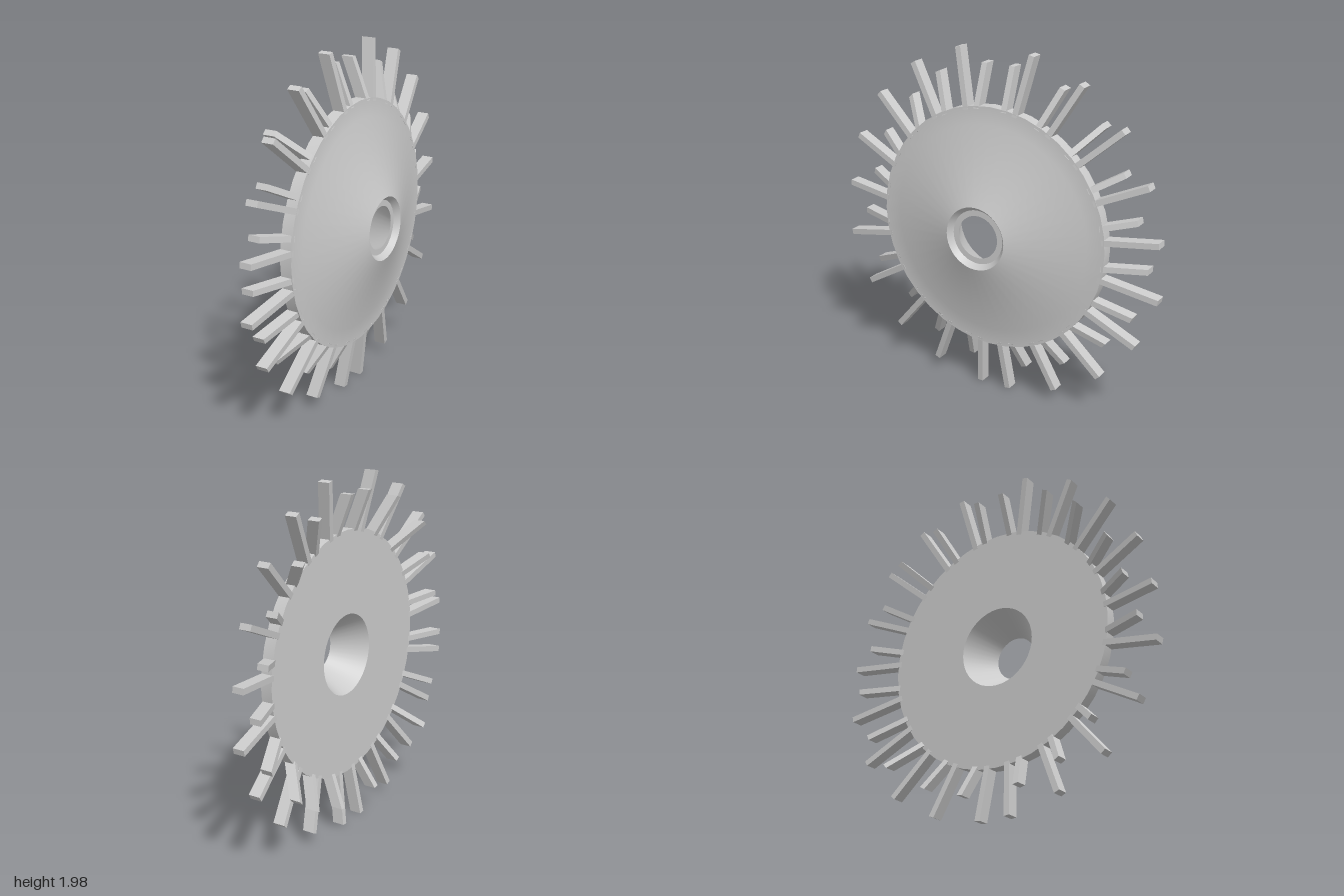
import * as THREE from 'three';
import { toCreasedNormals } from 'three/addons/utils/BufferGeometryUtils.js';

const RAD = Math.PI / 180;
const BASE = 0.68;      // radius where the blades meet the hub
const BACK = -0.042;    // rear plane of the hub
const DEPTH = 0.068;    // blade size along the axle
const WIDTH = 0.033;    // blade size around the rim

// Radial blade: a box pointing up, sheared towards -x as it rises
function bladeGeometry(tip, sweep, offset = 0) {
  const length = tip - BASE;
  const g = new THREE.BoxGeometry(DEPTH, length, WIDTH);
  g.translate(BACK + DEPTH / 2, BASE + length / 2, offset);
  const p = g.attributes.position;
  for (let i = 0; i < p.count; i++) {
    p.setX(i, p.getX(i) - sweep * (p.getY(i) - BASE) / length);
  }
  g.computeVertexNormals();
  return g;
}

export function createModel() {
  const model = new THREE.Group();
  model.name = 'bladedWheel';
  const material = new THREE.MeshStandardMaterial({ color: 0xcccccc });

  const wheel = new THREE.Group();
  wheel.name = 'wheel';
  wheel.position.y = 1;
  model.add(wheel);

  // Conical hub: rim, cone, recessed lip and flared bore (radius, position along axle)
  const profile = [
    [0.23, BACK], [0.7, BACK], [0.7, 0.024], [0.6, 0.029],
    [0.18, 0.182], [0.155, 0.15], [0.122, 0.15], [0.23, BACK],
  ].map(([r, x]) => new THREE.Vector2(r, x));
  let hubGeometry = new THREE.LatheGeometry(profile, 40);
  hubGeometry.rotateZ(-Math.PI / 2);
  hubGeometry = toCreasedNormals(hubGeometry, 30 * RAD);
  const hub = new THREE.Mesh(hubGeometry, material);
  hub.name = 'hub';
  wheel.add(hub);

  // Blades for one quadrant: angle from the top, tip radius, backward sweep
  const longBlades = [1.017, 1.014, 1.008, 0.993, 0.988]
    .map((tip, i) => ({ name: 'longBlade', angle: 12.8 + 17.97 * i, tip, sweep: 0.045 }));
  const shortBlades = [
    { angle: 0, tip: 0.912, sweep: 0.09, offset: 0.085 },
    { angle: 24.9, tip: 0.914, sweep: 0.09 },
    { angle: 42.9, tip: 0.888, sweep: 0.14 },
    { angle: 60.8, tip: 0.868, sweep: 0.09 },
    { angle: 78.2, tip: 0.86, sweep: 0.09 },
  ].map((b) => ({ name: 'shortBlade', ...b }));

  // Two quadrants per side, mirrored across the vertical plane
  for (const side of [1, -1]) {
    for (const quadrant of [0, 90]) {
      for (const b of [...longBlades, ...shortBlades]) {
        const blade = new THREE.Mesh(bladeGeometry(b.tip, b.sweep, side * (b.offset ?? 0)), material);
        blade.name = b.name;
        blade.rotation.x = side * (b.angle + quadrant) * RAD;
        wheel.add(blade);
      }
    }
  }

  return model;
}
